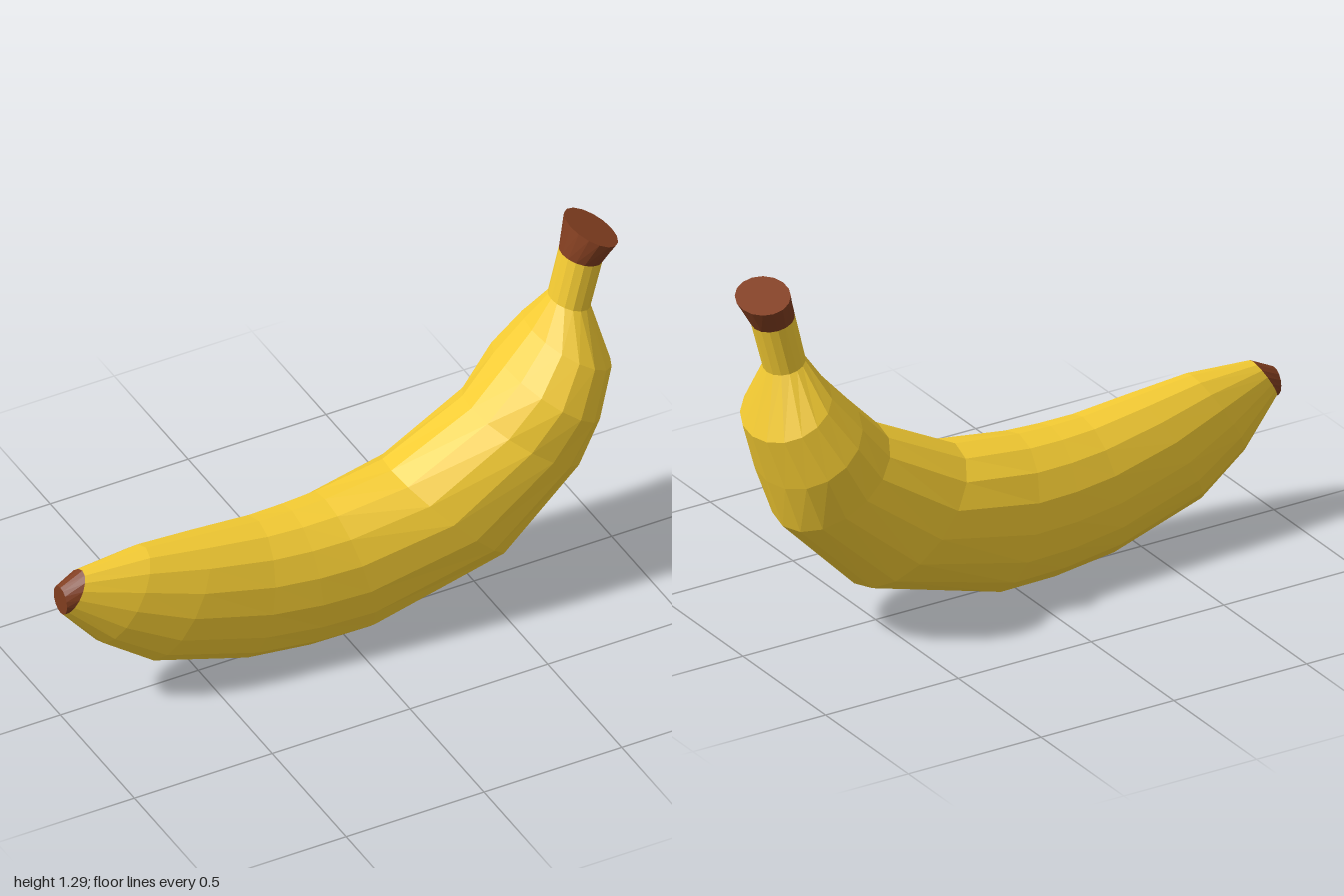
import * as THREE from 'three';

const SIDES = 16;

// Skin a row of elliptical sections, each [outerX, outerY, innerX, innerY, halfDepth]
function loft(name, sections, color, capStart, capEnd) {
  const pos = [], index = [];
  for (const [ox, oy, ix, iy, hz] of sections) {
    const cx = (ox + ix) / 2, cy = (oy + iy) / 2;
    for (let j = 0; j < SIDES; j++) {
      const a = (j / SIDES) * Math.PI * 2, c = Math.cos(a);
      pos.push(cx + (ox - cx) * c, cy + (oy - cy) * c, hz * Math.sin(a));
    }
  }
  const id = (i, j) => i * SIDES + (j % SIDES);
  for (let i = 0; i < sections.length - 1; i++) {
    for (let j = 0; j < SIDES; j++) {
      const a = id(i, j), b = id(i, j + 1), c = id(i + 1, j), d = id(i + 1, j + 1);
      index.push(a, c, b, b, c, d);
    }
  }
  // Flat end caps as fans
  const last = sections.length - 1;
  for (let j = 1; j < SIDES - 1; j++) {
    if (capStart) index.push(id(0, 0), id(0, j), id(0, j + 1));
    if (capEnd) index.push(id(last, 0), id(last, j + 1), id(last, j));
  }
  const geo = new THREE.BufferGeometry();
  geo.setAttribute('position', new THREE.Float32BufferAttribute(pos, 3));
  geo.setIndex(index);
  const flat = geo.toNonIndexed();
  flat.computeVertexNormals();
  const mesh = new THREE.Mesh(flat, new THREE.MeshStandardMaterial({ color, flatShading: true }));
  mesh.name = name;
  return mesh;
}

export function createModel() {
  const group = new THREE.Group();
  group.name = 'banana';
  const yellow = 0xf5cc33, brown = 0x803d1f;

  // Sections shared between neighbouring parts
  const tipEdge = [-1.0, 0.415, -0.92, 0.555, 0.055];
  const neck = [0.91, 0.995, 0.78, 1.035, 0.08];
  const stalkTop = [0.955, 1.16, 0.82, 1.2, 0.08];

  // Curved fruit, from the blossom tip to the neck
  group.add(loft('peel', [
    tipEdge,
    [-0.87, 0.26, -0.69, 0.565, 0.11],
    [-0.70, 0.135, -0.48, 0.545, 0.147],
    [-0.36, 0.03, -0.28, 0.525, 0.172],
    [-0.13, 0.005, -0.16, 0.523, 0.188],
    [0.08, 0.005, -0.04, 0.527, 0.2],
    [0.58, 0.155, 0.2, 0.555, 0.225],
    [0.85, 0.43, 0.49, 0.7, 0.222],
    [0.91, 0.605, 0.61, 0.825, 0.24],
    [0.965, 0.78, 0.71, 0.935, 0.19],
    neck,
  ], yellow, false, false));

  // Narrow stalk
  group.add(loft('stalk', [neck, stalkTop], yellow, false, false));

  // Flared cut end of the stalk
  group.add(loft('stalkEnd', [stalkTop, [1.0, 1.24, 0.85, 1.3, 0.12]], brown, false, true));

  // Slanted dark tip
  group.add(loft('tip', [[-1.0, 0.415, -1.0, 0.515, 0.045], tipEdge], brown, true, false));

  return group;
}
